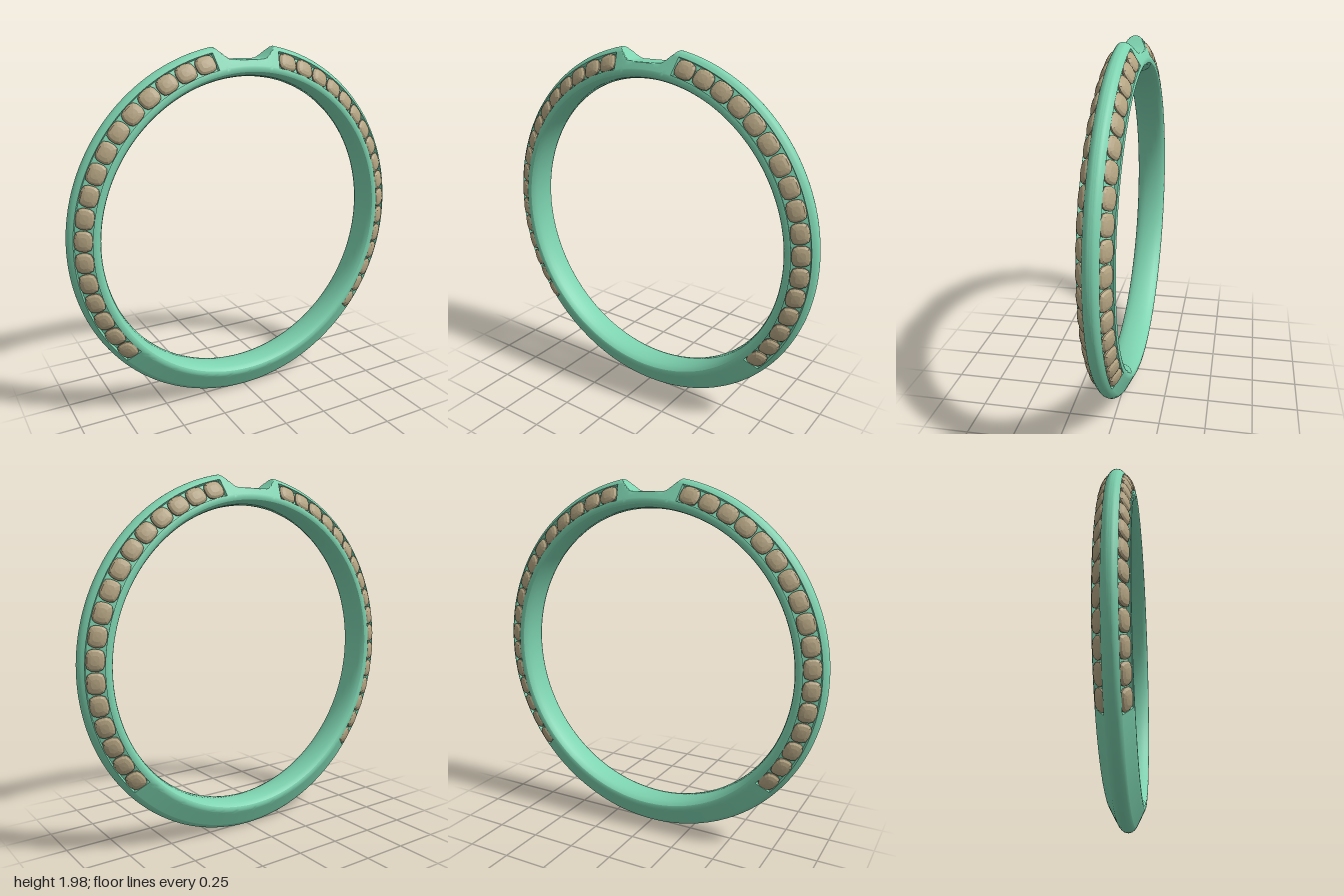
import * as THREE from 'three';
import { toCreasedNormals } from 'three/addons/utils/BufferGeometryUtils.js';

const DEG = Math.PI / 180;
// Sloping shoulder of the band that carries the stones, as [radius, z]
const TOP = [0.975, 0.04], LOW = [0.888, 0.086];
const LEN = Math.hypot(TOP[0] - LOW[0], LOW[1] - TOP[1]);
const NORMAL = [(LOW[1] - TOP[1]) / LEN, (TOP[0] - LOW[0]) / LEN];
const CHANNEL = [11.6, 131.4]; // degrees away from the top

// Closed cross-section as [radius, z]; the shoulder sinks by depth
function section(depth) {
  const half = [[1, 0], [0.999, 0.01], [0.995, 0.02], [0.987, 0.03], TOP];
  for (const f of [0.015, 0.17, 0.34, 0.5, 0.66, 0.83, 0.985]) {
    half.push([
      TOP[0] + (LOW[0] - TOP[0]) * f - NORMAL[0] * depth,
      TOP[1] + (LOW[1] - TOP[1]) * f - NORMAL[1] * depth,
    ]);
  }
  half.push(LOW, [0.88, 0.089], [0.866, 0.09], [0.857, 0.087], [0.847, 0.077],
    [0.839, 0.06], [0.833, 0.036], [0.83, 0]);
  const back = half.slice(1, -1).reverse().map(([r, z]) => [r, -z]);
  return half.concat(back);
}

// Height limit that cuts the seat into the top of the band
function seatHeight(x) {
  const u = Math.max(0, (Math.abs(x) - 0.1) / 0.08);
  return 1.92 + 0.065 * Math.pow(u, 1.25);
}

function bandGeometry() {
  // Finer steps near the seat, and paired steps at the channel ends
  const angles = [];
  for (let t = 0; t <= 180; t += t < 14 ? 0.5 : 1.5) angles.push(t);
  if (angles[angles.length - 1] < 180) angles.push(180);
  for (const c of CHANNEL) angles.push(c - 0.05, c + 0.05);
  angles.sort((a, b) => a - b);
  const all = angles.slice(1, -1).reverse().map((t) => -t);
  all.push(...angles);

  const plain = section(0), sunk = section(0.02), n = plain.length;
  const pos = [], index = [];
  all.forEach((t, i) => {
    const a = Math.abs(t);
    const profile = a > CHANNEL[0] && a < CHANNEL[1] ? sunk : plain;
    const next = (i + 1) % all.length;
    profile.forEach(([r, z], j) => {
      const x = -r * Math.sin(t * DEG);
      let y = 1 + r * Math.cos(t * DEG);
      if (r > 0.87 && a < 14) y = Math.min(y, seatHeight(x));
      pos.push(x, y, z);
      const k = (j + 1) % n;
      index.push(i * n + j, next * n + j, next * n + k);
      index.push(i * n + j, next * n + k, i * n + k);
    });
  });
  const g = new THREE.BufferGeometry();
  g.setAttribute('position', new THREE.Float32BufferAttribute(pos, 3));
  g.setIndex(index);
  return toCreasedNormals(g, 0.45);
}

// Cushion-cut stone: a turned profile squared off into a rounded square, facing +z
function stoneGeometry() {
  const profile = [[0, -0.03], [0.55, -0.025], [1, -0.008], [1, 0], [0.8, 0.009], [0.45, 0.014], [0, 0.0155]];
  const g = new THREE.LatheGeometry(profile.map(([r, h]) => new THREE.Vector2(r, h)), 16);
  g.rotateX(Math.PI / 2);
  const p = g.attributes.position;
  for (let i = 0; i < p.count; i++) {
    const x = p.getX(i), y = p.getY(i), r = Math.hypot(x, y);
    const m = Math.pow(x ** 4 + y ** 4, 0.25);
    const s = r > 1e-6 ? 0.25 + 0.75 * (r / m) : 1;
    p.setXY(i, x * s * 0.047, y * s * 0.054);
  }
  g.computeVertexNormals();
  return g;
}

export function createModel() {
  const model = new THREE.Group();
  model.name = 'ring';
  const metal = new THREE.MeshStandardMaterial({ color: 0x7dd3b0 });
  const gem = new THREE.MeshStandardMaterial({ color: 0xb5a583, flatShading: true });

  const band = new THREE.Mesh(bandGeometry(), metal);
  band.name = 'band';
  model.add(band);

  // Four rows of stones: left and right, front and back
  const geometry = stoneGeometry();
  const mid = [(TOP[0] + LOW[0]) / 2 - NORMAL[0] * 0.004, (TOP[1] + LOW[1]) / 2 - NORMAL[1] * 0.004];
  const COUNT = 17;
  for (const side of [1, -1]) {
    for (const face of [1, -1]) {
      const row = new THREE.Group();
      row.name = (face > 0 ? 'front' : 'back') + (side > 0 ? 'Left' : 'Right') + 'Stones';
      for (let i = 0; i < COUNT; i++) {
        const t = side * (15.2 + (113 * i) / (COUNT - 1)) * DEG;
        const out = new THREE.Vector3(Math.sin(t), Math.cos(t), 0);
        const normal = out.clone().multiplyScalar(NORMAL[0]);
        normal.z = face * NORMAL[1];
        const along = new THREE.Vector3(Math.cos(t), -Math.sin(t), 0);
        const across = along.clone().cross(normal);
        const stone = new THREE.Mesh(geometry, gem);
        stone.name = 'stone';
        stone.quaternion.setFromRotationMatrix(new THREE.Matrix4().makeBasis(across, along, normal));
        stone.position.set(out.x * mid[0], 1 + out.y * mid[0], face * mid[1]);
        row.add(stone);
      }
      model.add(row);
    }
  }
  return model;
}
